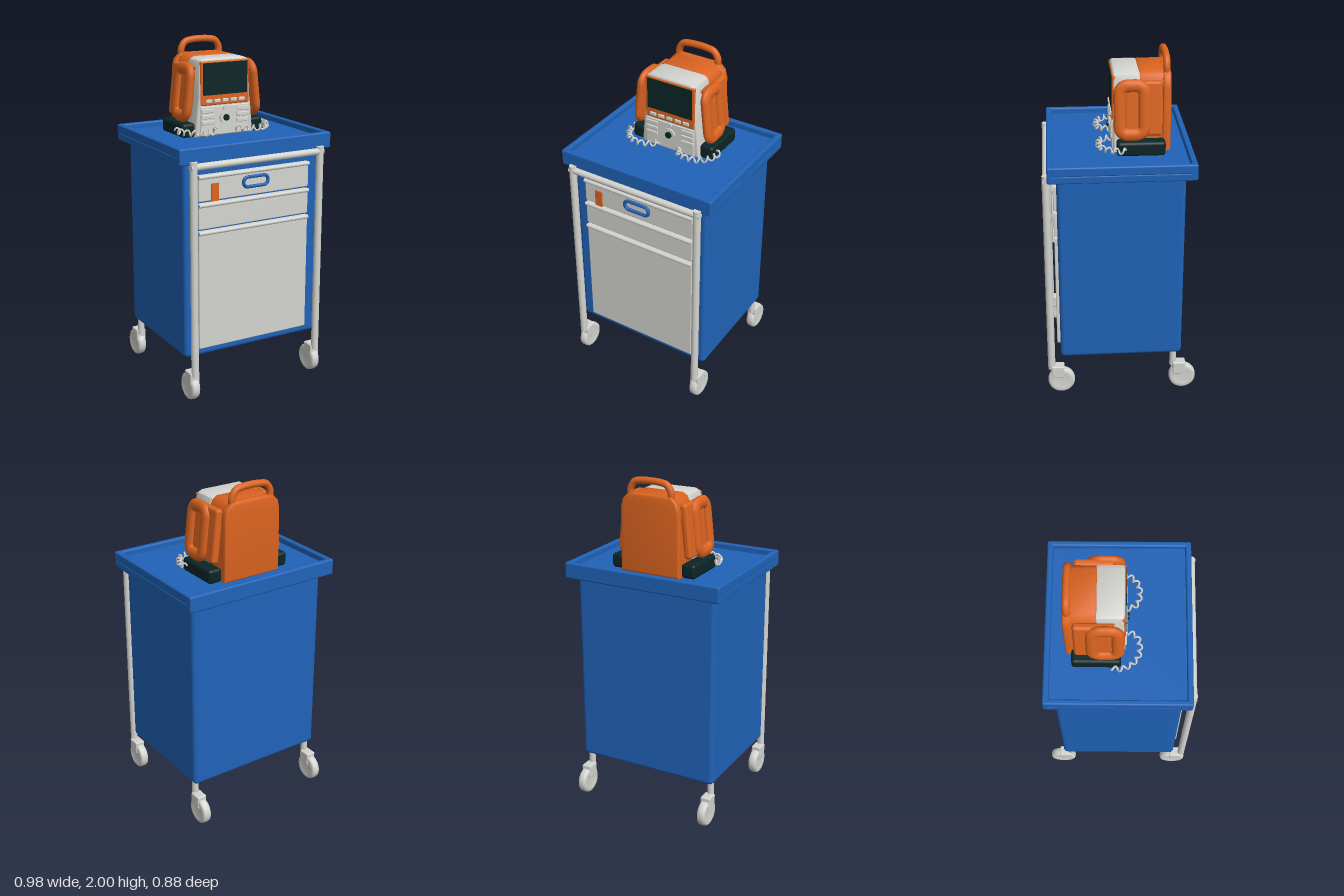
import * as THREE from 'three';
import { toCreasedNormals } from 'three/addons/utils/BufferGeometryUtils.js';
import { RoundedBoxGeometry } from 'three/addons/geometries/RoundedBoxGeometry.js';

const material = (name, color) => {
  const m = new THREE.MeshStandardMaterial({ color });
  m.name = name;
  return m;
};

export function createModel() {
  const blue = material('cabinet blue', 0x2063b8);
  const grey = material('light grey', 0xd4d4d0);
  const orange = material('device orange', 0xdc6420);
  const dark = material('dark teal', 0x0c2526);

  const model = new THREE.Group();
  model.name = 'medicalCart';

  const add = (name, geometry, mat, x = 0, y = 0, z = 0, parent = model) => {
    const mesh = new THREE.Mesh(geometry, mat);
    mesh.name = name;
    mesh.position.set(x, y, z);
    parent.add(mesh);
    return mesh;
  };
  const group = (name, parent = model) => {
    const g = new THREE.Group();
    g.name = name;
    parent.add(g);
    return g;
  };
  const rounded = (w, h, d, r) => new RoundedBoxGeometry(w, h, d, 3, r);
  const box = (w, h, d) => new THREE.BoxGeometry(w, h, d);

  // Rounded rectangle path, used for ring handles
  const ringPath = (w, h, r) => {
    const s = new THREE.Shape();
    const a = w / 2 - r, b = h / 2 - r;
    s.absarc(a, b, r, 0, Math.PI / 2);
    s.absarc(-a, b, r, Math.PI / 2, Math.PI);
    s.absarc(-a, -b, r, Math.PI, Math.PI * 1.5);
    s.absarc(a, -b, r, Math.PI * 1.5, Math.PI * 2);
    s.closePath();
    const pts = s.getPoints(6).map(p => new THREE.Vector3(p.x, p.y, 0));
    const unique = pts.filter((p, i) => i === 0 || (p.distanceTo(pts[i - 1]) > 1e-4 && p.distanceTo(pts[0]) > 1e-4));
    return new THREE.CatmullRomCurve3(unique, true, 'centripetal');
  };

  // Symmetrical housing with a straight-sided outline and bevelled rims
  const housing = (half, z0, z1, bevel) => {
    const outline = [...half, ...half.slice().reverse().map(([x, y]) => [-x, y])];
    const shape = new THREE.Shape(outline.map(p => new THREE.Vector2(...p)));
    const geo = new THREE.ExtrudeGeometry(shape, {
      depth: z1 - z0 - 2 * bevel, bevelThickness: bevel, bevelSize: bevel,
      bevelOffset: -bevel, bevelSegments: 3,
    });
    geo.translate(0, 0, z0 + bevel);
    return toCreasedNormals(geo, 0.7);
  };

  // Cabinet and tray
  add('cabinet', rounded(0.88, 1.15, 0.715, 0.025), blue, 0, 0.825, 0.008);
  add('trayBase', rounded(0.975, 0.06, 0.81, 0.008), blue, 0, 1.42, 0.005);
  for (const s of [-1, 1]) {
    add('trayEndRim', rounded(0.98, 0.095, 0.033, 0.01), blue, 0, 1.438, 0.005 + s * 0.394);
    add('traySideRim', rounded(0.032, 0.055, 0.78, 0.01), blue, s * 0.474, 1.458, 0.005);
    add('traySideLip', rounded(0.02, 0.045, 0.78, 0.008), blue, s * 0.48, 1.413, 0.005);
  }

  // Drawers and door, each with a rail along the top
  const fronts = [['topDrawer', 1.17, 1.32], ['middleDrawer', 1.01, 1.16], ['door', 0.3, 1.0]];
  for (const [name, y0, y1] of fronts) {
    add(name, rounded(0.72, y1 - y0, 0.04, 0.006), grey, 0, (y0 + y1) / 2, 0.365);
    const rail = add(name + 'Rail', new THREE.CylinderGeometry(0.012, 0.012, 0.72, 12), grey, 0, y1 - 0.012, 0.385);
    rail.rotation.z = Math.PI / 2;
  }
  add('drawerHandle', new THREE.TubeGeometry(ringPath(0.16, 0.056, 0.027), 64, 0.01, 8, true), blue, 0, 1.25, 0.392);
  add('drawerLatch', box(0.045, 0.1, 0.012), orange, -0.262, 1.218, 0.388);

  // Front frame of tubing
  for (const s of [-1, 1])
    add('frontPost', new THREE.CylinderGeometry(0.022, 0.022, 1.24, 16), grey, s * 0.41, 0.79, 0.422);
  const bar = add('frontBar', new THREE.CylinderGeometry(0.02, 0.02, 0.86, 16), grey, 0, 1.38, 0.422);
  bar.rotation.z = Math.PI / 2;

  // Casters
  const wheelProfile = [[0, -0.022], [0.045, -0.022], [0.05, -0.026], [0.068, -0.026], [0.077, -0.02], [0.08, -0.008],
    [0.08, 0.008], [0.077, 0.02], [0.068, 0.026], [0.05, 0.026], [0.045, 0.022], [0, 0.022]];
  const wheelGeo = new THREE.LatheGeometry(wheelProfile.map(p => new THREE.Vector2(...p)), 32);
  for (const s of [-1, 1]) {
    for (const z of [0.365, -0.36]) {
      const caster = group(z > 0 ? 'frontCaster' : 'rearCaster');
      caster.position.set(s * 0.41, 0, z);
      add('wheel', wheelGeo, grey, 0, 0.08, 0, caster).rotation.z = Math.PI / 2;
      add('fork', rounded(0.06, 0.08, 0.077, 0.008), grey, 0, 0.14, 0.02, caster);
      add('stem', new THREE.CylinderGeometry(0.02, 0.02, 0.1, 14), grey, 0, 0.205, 0.057, caster);
    }
  }

  // Monitor housing
  const monitor = group('monitor');
  const front = [[0.19, 1.45], [0.178, 1.6], [0.168, 1.68], [0.163, 1.86], [0.152, 1.887], [0.125, 1.9]];
  const rear = [[0.178, 1.45], [0.175, 1.6], [0.168, 1.84], [0.15, 1.885], [0.12, 1.903]];
  const back = [[0.185, 1.45], [0.182, 1.82], [0.17, 1.87], [0.135, 1.905]];
  add('frontHousing', housing(front, -0.115, 0.038, 0.012), grey, 0, 0, 0, monitor);
  add('rearHousing', housing(rear, -0.27, -0.108, 0.008), orange, 0, 0, 0, monitor);
  add('backShell', housing(back, -0.287, -0.24, 0.012), orange, 0, 0, 0, monitor);
  add('bezel', rounded(0.32, 0.255, 0.02, 0.008), orange, 0, 1.758, 0.034, monitor);
  add('screen', box(0.29, 0.185, 0.006), dark, 0, 1.783, 0.044, monitor);

  // Carrying handle
  const handlePts = [[-0.127, 1.89], [-0.125, 1.93], [-0.1, 1.967], [-0.05, 1.978], [0, 1.98],
    [0.05, 1.978], [0.1, 1.967], [0.125, 1.93], [0.127, 1.89]].map(([x, y]) => new THREE.Vector3(x, y, -0.263));
  add('carryHandle', new THREE.TubeGeometry(new THREE.CatmullRomCurve3(handlePts), 40, 0.02, 12), orange, 0, 0, 0, monitor);

  // Controls
  add('controlPanel', rounded(0.32, 0.17, 0.016, 0.006), grey, 0, 1.54, 0.036, monitor);
  for (let i = -2; i <= 2; i++)
    add('softKey', rounded(0.04, 0.02, 0.012, 0.004), grey, i * 0.054, 1.656, 0.046, monitor);
  for (const s of [-1, 1])
    for (let i = 0; i < 3; i++)
      add('sideKey', rounded(0.08, 0.024, 0.012, 0.004), grey, s * 0.117, 1.6 - i * 0.034, 0.045, monitor);
  const disc = (name, r, depth, mat, y, z) => {
    add(name, new THREE.CylinderGeometry(r, r, depth, 24), mat, 0, y, z, monitor).rotation.x = Math.PI / 2;
  };
  disc('smallButton', 0.016, 0.012, grey, 1.612, 0.046);
  disc('dial', 0.038, 0.014, grey, 1.555, 0.047);
  disc('dialCentre', 0.019, 0.012, dark, 1.555, 0.057);

  // Side paddles, feet and coiled cables
  const paddleRing = new THREE.TubeGeometry(ringPath(0.138, 0.275, 0.045), 72, 0.036, 10, true);
  paddleRing.rotateY(Math.PI / 2);
  paddleRing.scale(0.68, 1, 1);
  for (const s of [-1, 1]) {
    const paddle = group(s > 0 ? 'leftPaddle' : 'rightPaddle', monitor);
    paddle.position.set(s * 0.213, 1.705, 0);
    paddle.rotation.z = s * 0.11;
    add('paddleRing', paddleRing, orange, s * 0.005, 0, -0.065, paddle);
    add('paddlePlate', rounded(0.026, 0.27, 0.14, 0.01), orange, s * -0.008, 0, -0.065, paddle);
    add('paddleCradle', rounded(0.045, 0.31, 0.215, 0.018), orange, s * -0.016, 0.005, -0.128, paddle);
    for (const z of [-0.02, -0.06])
      add('paddleStud', new THREE.SphereGeometry(0.01, 12, 8), orange, s * -0.037, 0.145, z, paddle);
    add('foot', rounded(0.085, 0.083, 0.272, 0.018), dark, s * 0.224, 1.49, -0.116, monitor);

    const path = new THREE.CatmullRomCurve3([[0.28, -0.03], [0.285, 0.01], [0.262, 0.07], [0.215, 0.112],
      [0.15, 0.122], [0.092, 0.1], [0.065, 0.04]].map(([x, z]) => new THREE.Vector3(s * x, 1.49, z)));
    const coil = [];
    for (let i = 0; i <= 96; i++) {
      const t = i / 96, turn = t * 8 * Math.PI * 2;
      const p = path.getPointAt(t), d = path.getTangentAt(t);
      const swing = Math.cos(turn) * 0.013;
      coil.push(new THREE.Vector3(p.x - d.z * swing, p.y + Math.sin(turn) * 0.016, p.z + d.x * swing));
    }
    add('coiledCable', new THREE.TubeGeometry(new THREE.CatmullRomCurve3(coil), 200, 0.006, 6), grey, 0, 0, 0, monitor);
  }

  return model;
}
